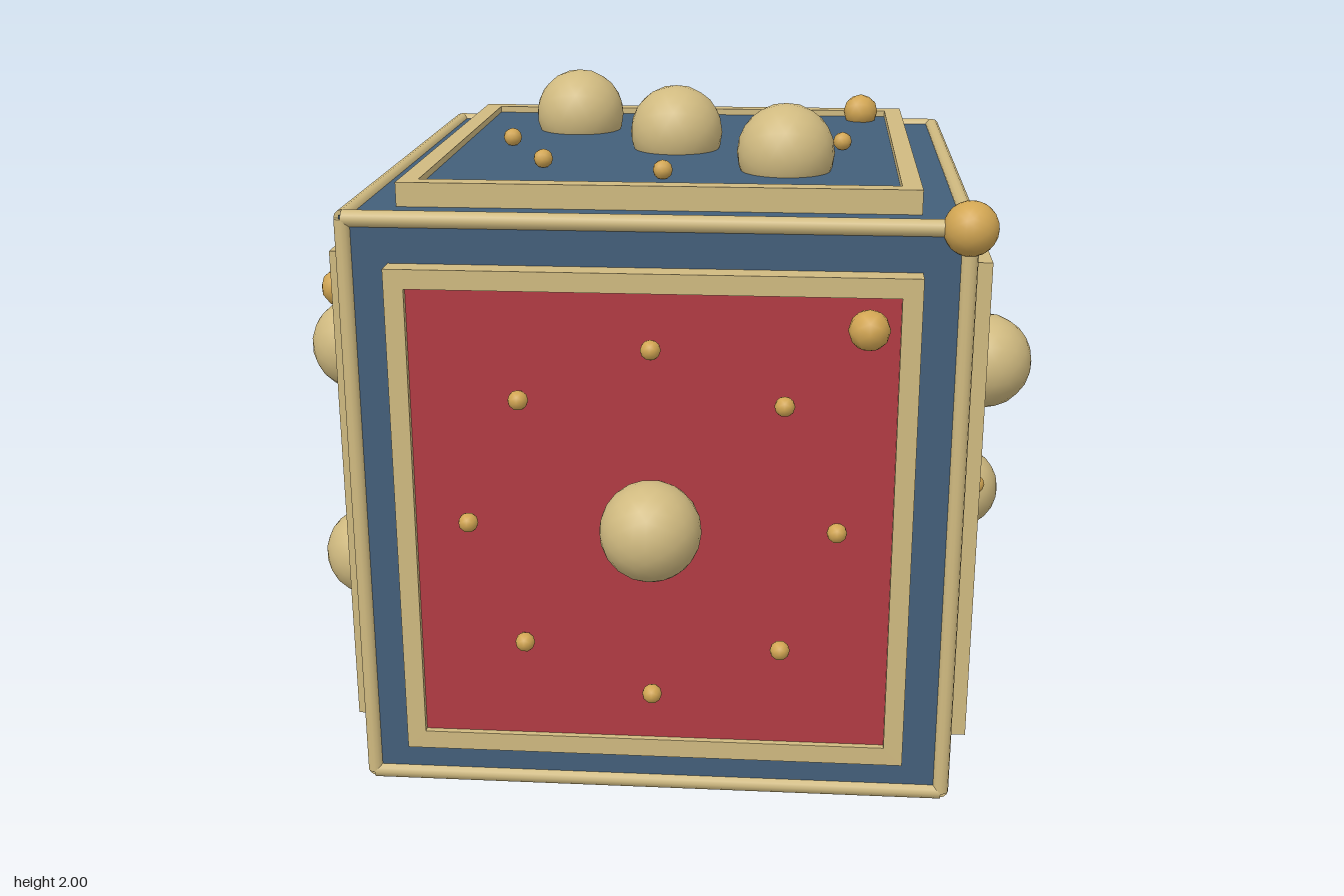
import * as THREE from 'three';

const mat = (name, color, flatShading = false) => {
  const m = new THREE.MeshStandardMaterial({ color, flatShading });
  m.name = name;
  return m;
};

export function createModel() {
  const blue = mat('slate blue', 0x435f7a);
  const red = mat('crimson', 0xb23b43);
  const cream = mat('pale brass', 0xd0ba80);
  const gold = mat('warm gold', 0xd2a653);

  const model = new THREE.Group();
  model.name = 'die';
  const die = new THREE.Group();
  die.name = 'dieBody';
  die.position.y = 1.003;
  model.add(die);

  const add = (parent, name, geo, material, x = 0, y = 0, z = 0) => {
    const mesh = new THREE.Mesh(geo, material);
    mesh.name = name;
    mesh.position.set(x, y, z);
    parent.add(mesh);
    return mesh;
  };

  // Cube core
  add(die, 'core', new THREE.BoxGeometry(1.556, 1.556, 1.556), blue);

  // Twelve edge rods, four along each axis
  const E = 0.77;
  const rodGeo = new THREE.CylinderGeometry(0.022, 0.022, 2 * E, 12);
  for (const a of [-E, E]) {
    for (const b of [-E, E]) {
      add(die, 'edgeRod', rodGeo, cream, a, 0, b);
      add(die, 'edgeRod', rodGeo, cream, 0, a, b).rotation.z = Math.PI / 2;
      add(die, 'edgeRod', rodGeo, cream, a, b, 0).rotation.x = Math.PI / 2;
    }
  }

  // Ball on one top corner (polyhedron geometries are faceted)
  add(die, 'cornerBall', new THREE.IcosahedronGeometry(0.068, 3), gold, E, E, E);

  // Square frame with a hole, shared by all faces
  const square = (s, target) => {
    target.moveTo(-s, -s);
    target.lineTo(s, -s);
    target.lineTo(s, s);
    target.lineTo(-s, s);
    target.closePath();
    return target;
  };
  const frameShape = square(0.66, new THREE.Shape());
  frameShape.holes.push(square(0.61, new THREE.Path()));
  const frameGeo = new THREE.ExtrudeGeometry(frameShape, { depth: 0.07, bevelEnabled: false });
  const panelGeo = new THREE.BoxGeometry(1.22, 1.22, 0.05);
  const pipGeo = new THREE.IcosahedronGeometry(0.13, 3);
  const beadGeo = new THREE.IcosahedronGeometry(0.026, 1);
  const studGeo = new THREE.IcosahedronGeometry(0.052, 1);

  // Pip layouts in each face's own plane
  const p = 0.315, q = 0.3, r = 0.342;
  const corners = [[-p, p], [p, p], [-p, -p], [p, -p]];
  const H = Math.PI / 2;
  const faces = [
    { name: 'frontFace', rot: [0, 0], color: red, pips: [[0, 0]] },
    { name: 'leftFace', rot: [0, H], color: blue, pips: [[-q, q], [q, -q]] },
    { name: 'topFace', rot: [-H, 0], color: blue, pips: [[-p, p], [0, 0], [p, -p]] },
    { name: 'bottomFace', rot: [H, 0], color: blue, pips: corners },
    { name: 'rightFace', rot: [0, -H], color: blue, pips: [...corners, [0, 0]] },
    { name: 'backFace', rot: [Math.PI, 0], color: red,
      pips: [-r, 0, r].flatMap((y) => [[-p, y], [p, y]]) },
  ];

  for (const { name, rot, color, pips } of faces) {
    const face = new THREE.Group();
    face.name = name;
    face.rotation.set(rot[0], rot[1], 0);
    die.add(face);
    add(face, 'frame', frameGeo, cream, 0, 0, 0.77);
    add(face, 'panel', panelGeo, color, 0, 0, 0.797);
    for (const [x, y] of pips) add(face, 'pip', pipGeo, cream, x, y, 0.868);
    // Ring of eight beads and one larger corner stud
    for (let i = 0; i < 8; i++) {
      const t = (i * Math.PI) / 4;
      add(face, 'bead', beadGeo, gold, 0.47 * Math.cos(t), 0.47 * Math.sin(t), 0.846);
    }
    add(face, 'cornerStud', studGeo, gold, 0.533, 0.533, 0.85);
  }

  return model;
}
